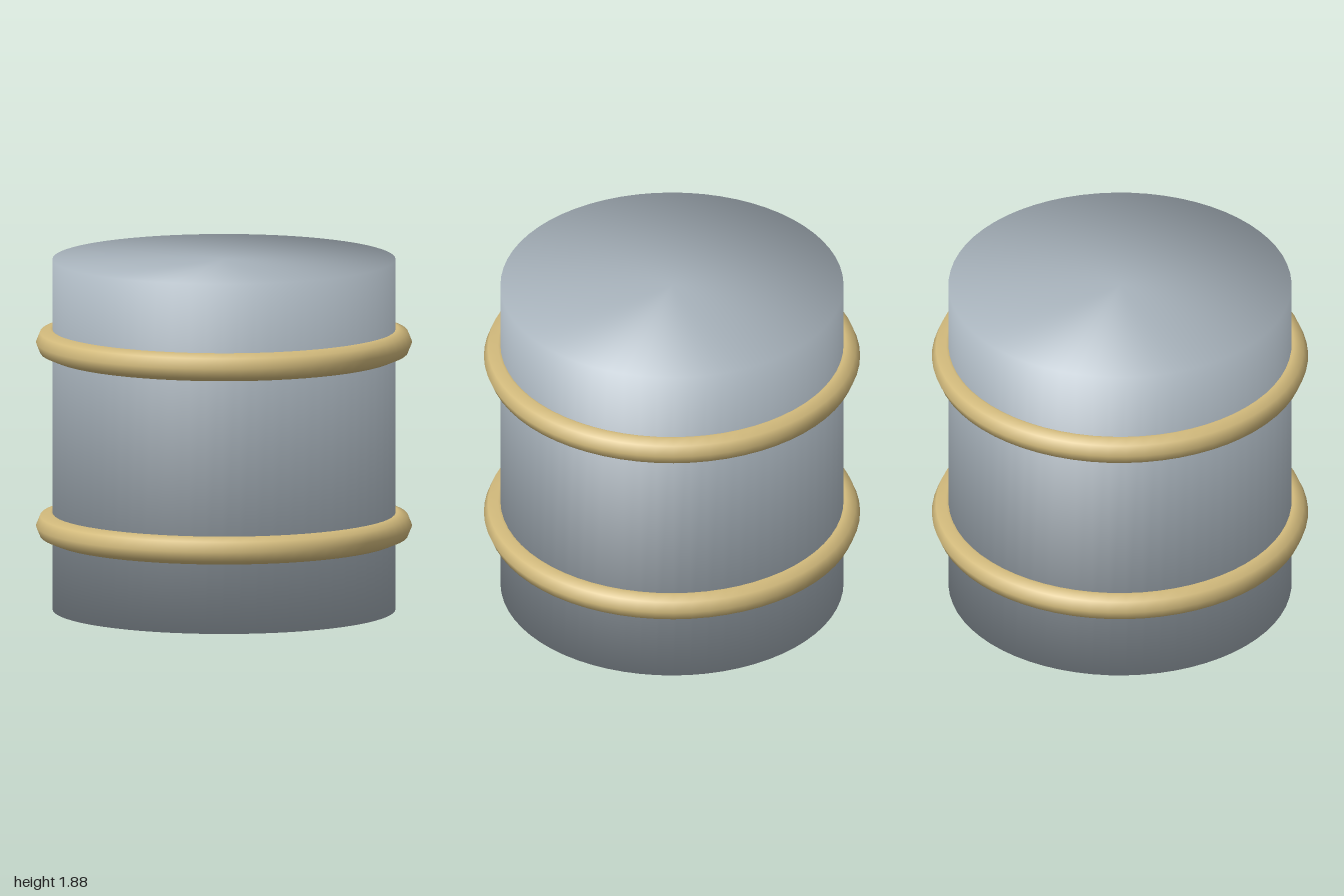
import * as THREE from 'three';

const HEIGHT = 1.88;
const RADIUS = 0.912;

const steel = new THREE.MeshStandardMaterial({ color: 0xa9b4bd });
steel.name = 'steelGrey';
const brass = new THREE.MeshStandardMaterial({ color: 0xd2ba7c });
brass.name = 'paleBrass';

// Closed drum whose shading rolls softly over the rims
function softDrum() {
  const geo = new THREE.CylinderGeometry(RADIUS, RADIUS, HEIGHT, 64);
  const pos = geo.attributes.position;
  const n = new THREE.Vector3();
  for (let i = 0; i < pos.count; i++) {
    n.set(pos.getX(i) / RADIUS, Math.sign(pos.getY(i)), pos.getZ(i) / RADIUS).normalize();
    geo.attributes.normal.setXYZ(i, n.x, n.y, n.z);
  }
  return geo;
}

export function createModel() {
  const model = new THREE.Group();
  model.name = 'bandedDrum';

  const body = new THREE.Mesh(softDrum(), steel);
  body.name = 'drumBody';
  body.position.y = HEIGHT / 2;
  model.add(body);

  // Two round hoops, eight-sided in section
  const hoopGeo = new THREE.TorusGeometry(0.925, 0.075, 8, 64);
  hoopGeo.rotateX(-Math.PI / 2);
  for (const [name, y] of [['lowerHoop', 0.45], ['upperHoop', 1.435]]) {
    const hoop = new THREE.Mesh(hoopGeo, brass);
    hoop.name = name;
    hoop.position.y = y;
    model.add(hoop);
  }
  return model;
}
